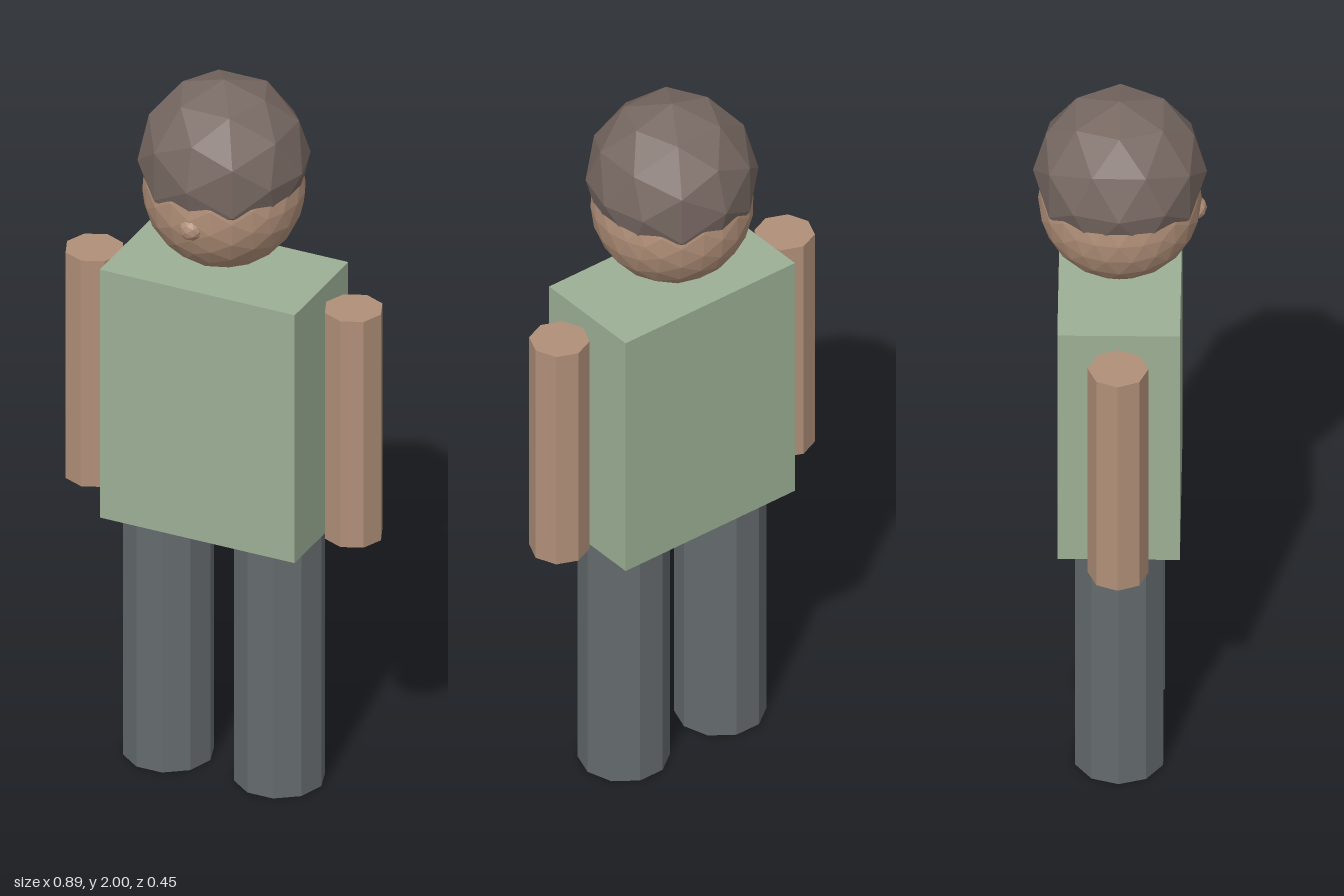
import * as THREE from 'three';

function material(name, color) {
  const m = new THREE.MeshStandardMaterial({ color, flatShading: true });
  m.name = name;
  return m;
}

export function createModel() {
  const skin = material('skin', 0xb08f78);
  const shirt = material('greenShirt', 0x9caf94);
  const trousers = material('greyTrousers', 0x646a6d);
  const hairBrown = material('brownHair', 0x776862);

  const model = new THREE.Group();
  model.name = 'figure';

  function add(name, geometry, mat, x, y, z) {
    const mesh = new THREE.Mesh(geometry, mat);
    mesh.name = name;
    mesh.position.set(x, y, z);
    model.add(mesh);
    return mesh;
  }

  // Body
  add('torso', new THREE.BoxGeometry(0.555, 0.725, 0.314), shirt, 0, 1.0925, 0);

  // Head, nose and the rounder cap of hair that overlaps the head
  add('head', new THREE.IcosahedronGeometry(0.21, 3), skin, 0, 1.688, 0);
  add('nose', new THREE.IcosahedronGeometry(0.034, 1), skin, 0, 1.66, 0.189);
  add('hair', new THREE.IcosahedronGeometry(0.223, 1), hairBrown, 0, 1.777, 0);

  // Limbs, mirrored left and right
  const armShape = new THREE.CylinderGeometry(0.078, 0.078, 0.66, 8);
  const legShape = new THREE.CylinderGeometry(0.119, 0.119, 0.73, 10).rotateY(Math.PI / 2);
  for (const [side, s] of [['left', 1], ['right', -1]]) {
    add(side + 'Arm', armShape, skin, s * 0.369, 1.09, 0);
    add(side + 'Leg', legShape, trousers, s * 0.158, 0.365, 0);
  }

  return model;
}
